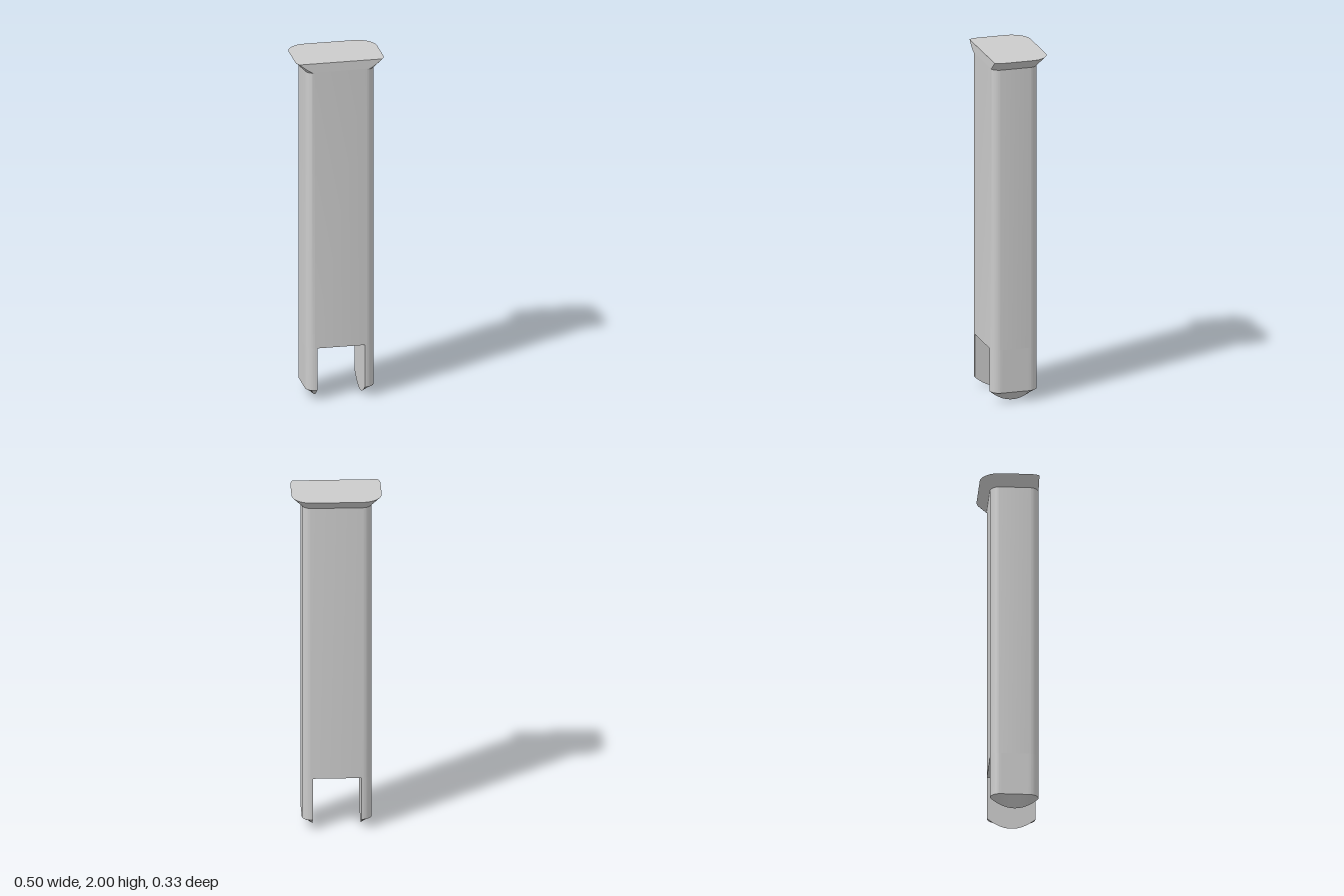
import * as THREE from 'three';
import { toCreasedNormals } from 'three/addons/utils/BufferGeometryUtils.js';

const HX = 0.194, HZ = 0.135, R = 0.054;   // shaft half sizes and corner radius
const FLARE = 0.057, SLOT_X = 0.135, SLOT_Y = 0.31, CHAMFER_Y = 0.06;
const STEPS = 24;

// Rounded rectangle corner, grown outwards by d
function corner(sx, sz, start, d) {
  return Array.from({ length: STEPS + 1 }, (_, i) => {
    const a = start + (i / STEPS) * Math.PI / 2;
    return [sx * (HX - R) + Math.cos(a) * (R + d), sz * (HZ - R) + Math.sin(a) * (R + d)];
  });
}

// Closed outline, with the front held flat to the shaft's front plane
function outline(d, y) {
  const q = Math.PI / 2;
  return [...corner(1, 1, 0, d), ...corner(-1, 1, q, d), ...corner(-1, -1, 2 * q, d), ...corner(1, -1, 3 * q, d)]
    .map(([x, z]) => [x, y, Math.min(z, HZ)]);
}

// Skin a stack of rings; closed rings also get end caps
function loft(rings, closed) {
  const v = [];
  const n = rings[0].length;
  const last = closed ? n : n - 1;
  for (let r = 0; r < rings.length - 1; r++) {
    for (let i = 0; i < last; i++) {
      const j = (i + 1) % n;
      const a = rings[r][i], b = rings[r][j], c = rings[r + 1][j], d = rings[r + 1][i];
      v.push(...a, ...d, ...b, ...b, ...d, ...c);
    }
  }
  if (closed) {
    const lo = rings[0], hi = rings[rings.length - 1];
    for (let i = 0; i < n; i++) {
      const j = (i + 1) % n;
      v.push(0, lo[0][1], 0, ...lo[i], ...lo[j]);
      v.push(0, hi[0][1], 0, ...hi[j], ...hi[i]);
    }
  }
  const g = new THREE.BufferGeometry();
  g.setAttribute('position', new THREE.Float32BufferAttribute(v, 3));
  return toCreasedNormals(g, 0.5);
}

// Prong: D-shaped section, its end sloping to a rounded tip on the slot side
function prongGeometry() {
  const face = Array.from({ length: 19 }, (_, i) => [HX, (HZ - R) * (-1 + (i + 1) / 10)]);
  const section = [
    [SLOT_X, -HZ], ...corner(1, -1, -Math.PI / 2, 0), ...face, ...corner(1, 1, 0, 0), [SLOT_X, HZ],
  ];
  const tipY = (z) => CHAMFER_Y * (z / HZ) ** 2;
  return loft([
    section.map(([, z]) => [SLOT_X, SLOT_Y, z]),
    section.map(([, z]) => [SLOT_X, tipY(z), z]),
    section.map(([x, z]) => [x, CHAMFER_Y, z]),
    section.map(([x, z]) => [x, SLOT_Y, z]),
  ], false);
}

export function createModel() {
  const model = new THREE.Group();
  model.name = 'slottedPin';
  const material = new THREE.MeshStandardMaterial({ color: 0xcccccc });
  const add = (name, geometry) => {
    const mesh = new THREE.Mesh(geometry, material);
    mesh.name = name;
    mesh.position.z = 0.028;
    model.add(mesh);
    return mesh;
  };

  // Shaft and flared head in one skin
  const rings = [outline(0, SLOT_Y)];
  for (let i = 0; i <= 16; i++) {
    const d = FLARE * i / 16;
    rings.push(outline(d, 2 - FLARE + d));
  }
  add('shaftAndHead', loft(rings, true));

  // Two prongs either side of the slot
  const prong = prongGeometry();
  add('leftProng', prong);
  add('rightProng', prong).rotation.y = Math.PI;

  return model;
}
